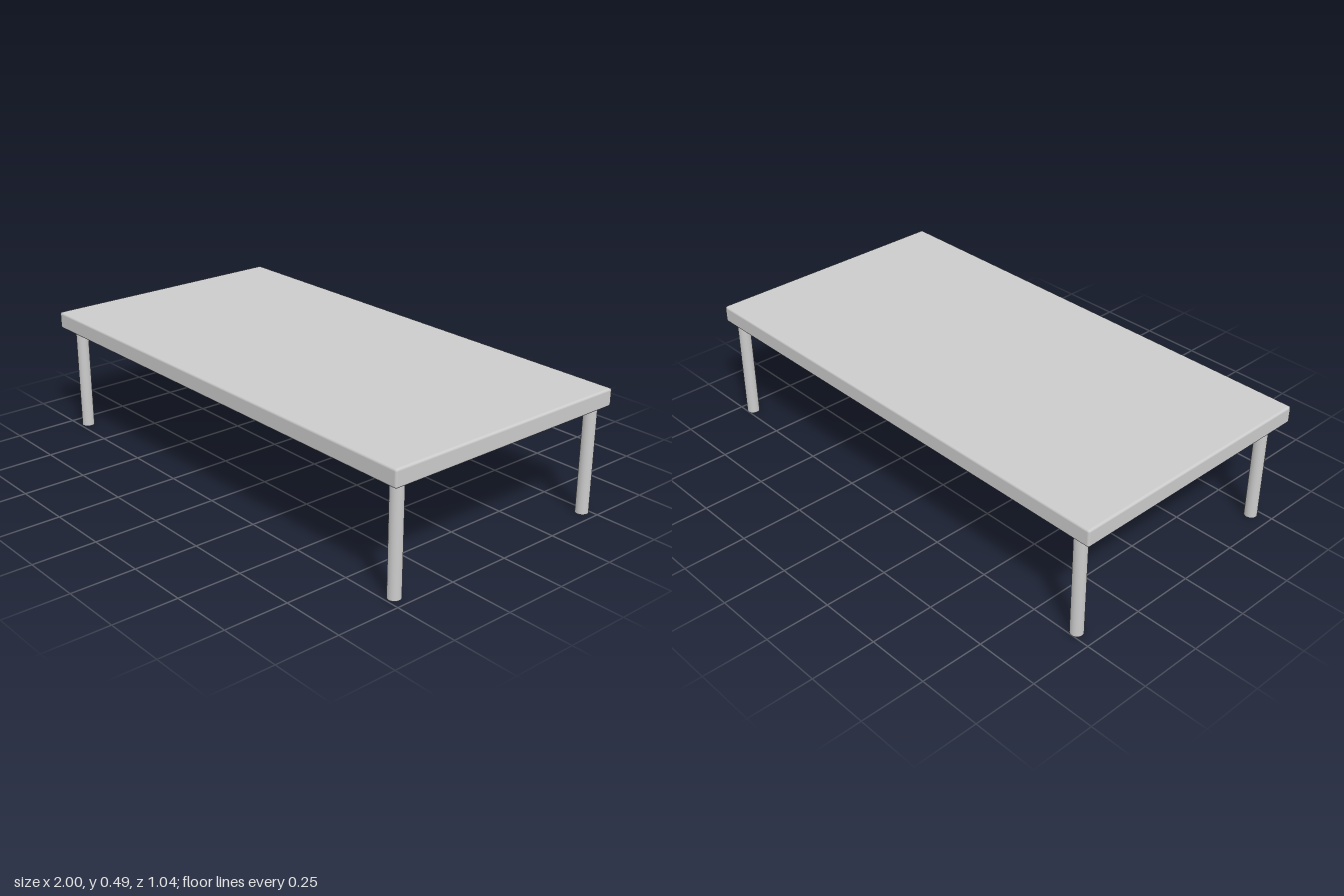
import * as THREE from 'three';
import { RoundedBoxGeometry } from 'three/addons/geometries/RoundedBoxGeometry.js';

export function createModel() {
  const table = new THREE.Group();
  table.name = 'table';
  const material = new THREE.MeshStandardMaterial({ color: 0xcccccc });

  // Slab with slightly softened edges
  const bottomY = 0.422, topY = 0.49;
  const top = new THREE.Mesh(new RoundedBoxGeometry(2, topY - bottomY, 1.044, 3, 0.009), material);
  top.name = 'tableTop';
  top.position.y = (bottomY + topY) / 2;
  table.add(top);

  // Four round legs, set slightly off centre under the slab
  const legGeometry = new THREE.CylinderGeometry(0.025, 0.025, bottomY, 32);
  for (const [side, x] of [['Left', 0.947], ['Right', -0.927]]) {
    for (const [end, z] of [['front', 0.466], ['back', -0.476]]) {
      const leg = new THREE.Mesh(legGeometry, material);
      leg.name = `${end}${side}Leg`;
      leg.position.set(x, bottomY / 2, z);
      table.add(leg);
    }
  }
  return table;
}
